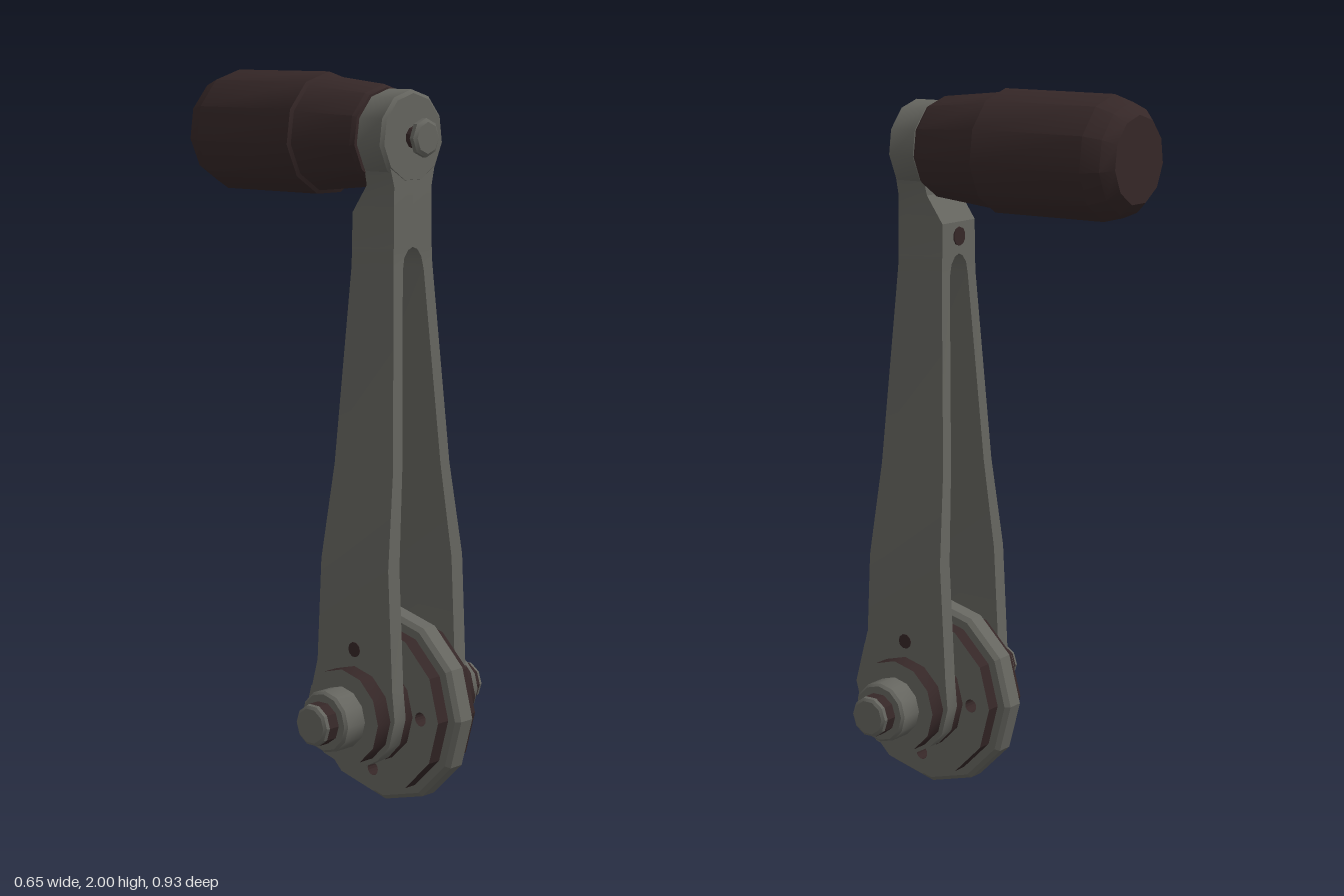
import * as THREE from 'three';
import { toCreasedNormals } from 'three/addons/utils/BufferGeometryUtils.js';

const steel = new THREE.MeshStandardMaterial({ color: 0x65655f });
steel.name = 'grey steel';
const brown = new THREE.MeshStandardMaterial({ color: 0x352727 });
brown.name = 'dark brown';

const AXLE_Y = 0.277, AXLE_Z = 0.2, GRIP_Y = 1.832;

export function createModel() {
  const model = new THREE.Group();

  const add = (name, geometry, material, x = 0, y = 0, z = 0) => {
    const mesh = new THREE.Mesh(geometry, material);
    mesh.name = name;
    mesh.position.set(x, y, z);
    model.add(mesh);
    return mesh;
  };

  // Turned part from [radius, distance] pairs, along +y
  const turned = (profile, sides) => toCreasedNormals(
    new THREE.LatheGeometry(profile.map(([r, d]) => new THREE.Vector2(r, d)), sides), 0.6);

  // Polygonal disc across x with four drilled holes
  const drilledDisc = (radius, halfWidth, bevel) => {
    const shape = new THREE.Shape();
    for (let i = 0; i < 12; i++) {
      const a = i * Math.PI / 6;
      const x = radius * Math.cos(a), y = radius * Math.sin(a);
      i ? shape.lineTo(x, y) : shape.moveTo(x, y);
    }
    shape.closePath();
    for (let i = 0; i < 4; i++) {
      const a = i * Math.PI / 2;
      const hole = new THREE.Path();
      hole.absarc(0.173 * Math.cos(a), 0.173 * Math.sin(a), 0.019, 0, Math.PI * 2, true);
      shape.holes.push(hole);
    }
    const g = new THREE.ExtrudeGeometry(shape, {
      depth: 2 * (halfWidth - bevel), curveSegments: 8, bevelEnabled: bevel > 0,
      bevelSize: bevel, bevelThickness: bevel, bevelOffset: -bevel, bevelSegments: 1,
    });
    g.translate(0, 0, bevel - halfWidth);
    g.rotateY(Math.PI / 2);
    return g;
  };

  // Wheel: bevelled steel disc with narrower brown-rimmed discs beside it
  add('wheel', drilledDisc(0.272, 0.035, 0.012), steel, 0, AXLE_Y, AXLE_Z);
  add('wheelFlange', drilledDisc(0.236, 0.077, 0), [steel, brown], 0, AXLE_Y, AXLE_Z);

  // Arm rows: y, outer x, inner x, front z, back z
  const rows = [
    [0.135, 0.152, 0.107, 0.24, 0.16],
    [0.16, 0.152, 0.107, 0.285, 0.115],
    [0.205, 0.152, 0.107, 0.327, 0.073],
    [0.28, 0.152, 0.107, 0.347, 0.053],
    [0.36, 0.152, 0.107, 0.338, 0.06],
    [0.69, 0.152, 0.107, 0.322, 0.077],
    [0.95, 0.115, 0.078, 0.305, 0.092],
    [1.48, 0.079, 0.042, 0.272, 0.12],
    [1.515, 0.077, 0.034, 0.27, 0.12],
    [1.535, 0.077, 0.018, 0.27, 0.12],
    [1.542, 0.076, 0, 0.27, 0.12],
    [1.63, 0.075, 0, 0.27, 0.12],
    [1.705, 0.075, 0, 0.27, 0.172],
    [1.76, 0.09, 0, 0.268, 0.175],
  ];
  const armGeometry = side => {
    const rings = rows.map(([y, xo, xi, zf, zb]) => {
      const ring = [[xo, zf], [xo, zb], [xi, zb], [xi, zf]].map(([x, z]) => [x * side, y, z]);
      return side > 0 ? ring : ring.reverse();
    });
    const pos = [];
    const quad = (a, b, c, d) => pos.push(...a, ...b, ...c, ...a, ...c, ...d);
    for (let i = 0; i < rings.length - 1; i++) {
      for (let j = 0; j < 4; j++) {
        const k = (j + 1) % 4;
        quad(rings[i][j], rings[i][k], rings[i + 1][k], rings[i + 1][j]);
      }
    }
    quad(...rings[rings.length - 1]);
    quad(...[...rings[0]].reverse());
    const g = new THREE.BufferGeometry();
    g.setAttribute('position', new THREE.Float32BufferAttribute(pos, 3));
    return toCreasedNormals(g, 0.5);
  };

  for (const side of [1, -1]) {
    const label = side > 0 ? 'left' : 'right';
    const axlePart = (name, profile, sides, material) => {
      const g = turned(profile, sides);
      g.rotateZ(-side * Math.PI / 2);
      add(label + name, g, material, 0, AXLE_Y, AXLE_Z);
    };
    add(label + 'Arm', armGeometry(side), steel);

    // Axle stack, from the wheel outwards
    axlePart('InnerSpacer', [[0.145, 0.07], [0.145, 0.108]], 12, brown);
    axlePart('OuterWasherRim', [[0.132, 0.15], [0.132, 0.202]], 12, brown);
    axlePart('OuterWasherFace', [[0.132, 0.202], [0, 0.202]], 12, steel);
    axlePart('Nut', [[0.085, 0.2], [0.085, 0.268], [0.078, 0.276], [0, 0.276]], 12, steel);
    axlePart('AxleEnd', [[0.058, 0.274], [0.058, 0.31]], 10, brown);
    axlePart('AxleCap', [[0.058, 0.31], [0.056, 0.32], [0.048, 0.326], [0, 0.326]], 10, steel);

    // Dark pin hole in the arm
    const pin = new THREE.CylinderGeometry(0.021, 0.021, 0.006, 10);
    pin.rotateZ(Math.PI / 2);
    add(label + 'PinHole', pin, brown, side * 0.151, 0.455, AXLE_Z);
  }

  // Dark hole in the back of the neck
  const neckHole = new THREE.CylinderGeometry(0.026, 0.026, 0.006, 10);
  neckHole.rotateX(Math.PI / 2);
  add('neckHole', neckHole, brown, 0, 1.59, 0.119);

  // Head and grip, turned along the z axis towards the back
  const alongBack = (name, profile, sides, material) => {
    const g = turned(profile, sides);
    g.rotateX(-Math.PI / 2);
    add(name, g, material, 0, GRIP_Y, 0);
  };
  alongBack('armHead', [[0, -0.27], [0.116, -0.27], [0.126, -0.262], [0.126, -0.182],
    [0.118, -0.174], [0, -0.174]], 11, steel);
  alongBack('grip', [[0, -0.176], [0.13, -0.176], [0.138, -0.165], [0.158, 0.03],
    [0.168, 0.036], [0.168, 0.382], [0.148, 0.43], [0.118, 0.46], [0, 0.46]], 11, brown);

  // Bolt holding the grip at the front
  alongBack('boltShaft', [[0.03, -0.305], [0.03, -0.26]], 10, brown);
  alongBack('boltHead', [[0, -0.322], [0.042, -0.322], [0.052, -0.315], [0.052, -0.303],
    [0, -0.303]], 8, steel);

  return model;
}
